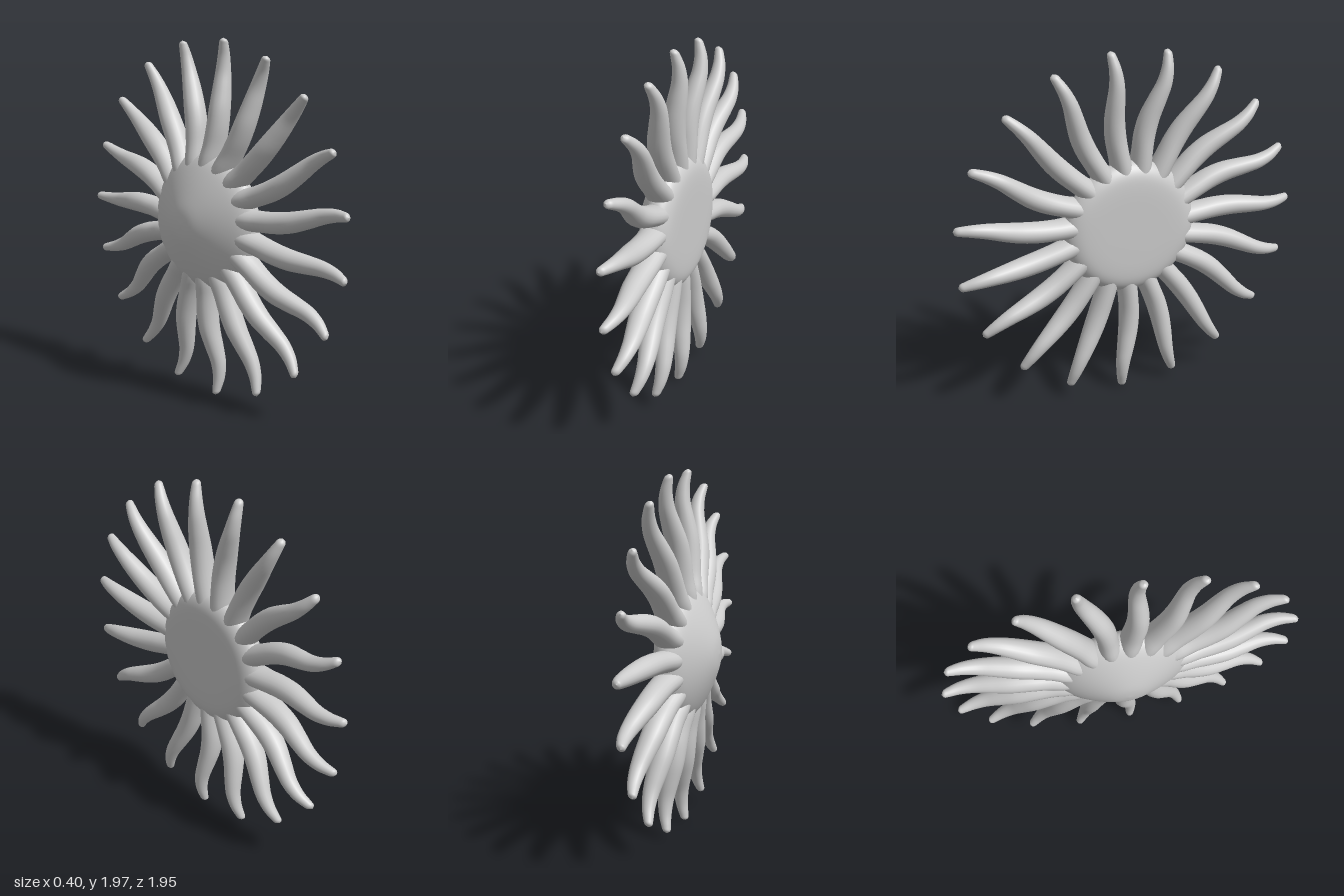
import * as THREE from 'three';

const ARMS = 19, RINGS = 44, SIDES = 20;

// Arm stations: distance from centre, sideways sway, offset along the disc axis
const path = [
  [0.24, 0, -0.015], [0.33, -0.004, -0.012], [0.42, -0.014, -0.004], [0.52, -0.022, 0.0],
  [0.62, -0.02, 0.008], [0.72, -0.008, 0.024], [0.81, 0.004, 0.036], [0.89, 0.006, 0.034],
  [0.95, 0.001, 0.022], [0.977, -0.002, 0.015], [0.99, -0.003, 0.012],
];
// Half width and half thickness at the same stations
const size = [
  [0.05, 0.075], [0.058, 0.078], [0.056, 0.071], [0.057, 0.066],
  [0.055, 0.062], [0.049, 0.054], [0.041, 0.044], [0.033, 0.035],
  [0.026, 0.027], [0.02, 0.02], [0, 0],
];
const spline = (rows) => new THREE.CatmullRomCurve3(
  rows.map(([a, b, c = 0]) => new THREE.Vector3(a, b, c)), false, 'catmullrom');
const pathCurve = spline(path), sizeCurve = spline(size);

// One wavy tapering arm, pointing along +y, with the disc axis along x
function armGeometry(swayScale) {
  const pos = [], index = [];
  for (let i = 0; i <= RINGS; i++) {
    const t = 1 - Math.pow(1 - i / RINGS, 1.3);
    const p = pathCurve.getPoint(t), s = sizeCurve.getPoint(t);
    for (let j = 0; j < SIDES; j++) {
      const a = j / SIDES * Math.PI * 2;
      const side = p.y * swayScale + Math.max(s.x, 0) * Math.cos(a);
      pos.push(p.z + Math.max(s.y, 0) * Math.sin(a), p.x, -side);
      if (i < RINGS) {
        const k = (j + 1) % SIDES, r0 = i * SIDES, r1 = r0 + SIDES;
        index.push(r0 + j, r1 + j, r0 + k, r1 + j, r1 + k, r0 + k);
      }
    }
  }
  const g = new THREE.BufferGeometry();
  g.setAttribute('position', new THREE.Float32BufferAttribute(pos, 3));
  g.setIndex(index);
  g.computeVertexNormals();
  return g;
}

// Central disc: domed on one side, flat on the other
function discGeometry() {
  const profile = new THREE.SplineCurve([
    [0, -0.2], [0.08, -0.191], [0.17, -0.16], [0.26, -0.118], [0.33, -0.075], [0.37, -0.03],
    [0.375, 0.01], [0.355, 0.045], [0.31, 0.07], [0.24, 0.08], [0.12, 0.082], [0, 0.082],
  ].map(([r, u]) => new THREE.Vector2(r, u))).getPoints(48);
  profile.forEach((p) => { p.x = Math.max(p.x, 0); });
  return new THREE.LatheGeometry(profile, 76).rotateZ(-Math.PI / 2);
}

export function createModel() {
  const model = new THREE.Group();
  model.name = 'sunStar';
  const material = new THREE.MeshStandardMaterial({ color: 0xcccccc });

  const body = new THREE.Group();
  body.name = 'body';
  body.position.set(0, 1.0, 0.005);
  body.rotation.y = -Math.asin(0.14);
  model.add(body);

  const disc = new THREE.Mesh(discGeometry(), material);
  disc.name = 'centralDisc';
  body.add(disc);

  // Ring of evenly spaced arms, each swaying a little differently
  for (let i = 0; i < ARMS; i++) {
    const arm = new THREE.Mesh(armGeometry(1 + 0.3 * Math.sin(i * 2.1)), material);
    arm.name = `arm${i + 1}`;
    arm.rotation.x = -(i / ARMS) * Math.PI * 2 + 0.108;
    body.add(arm);
  }
  return model;
}
